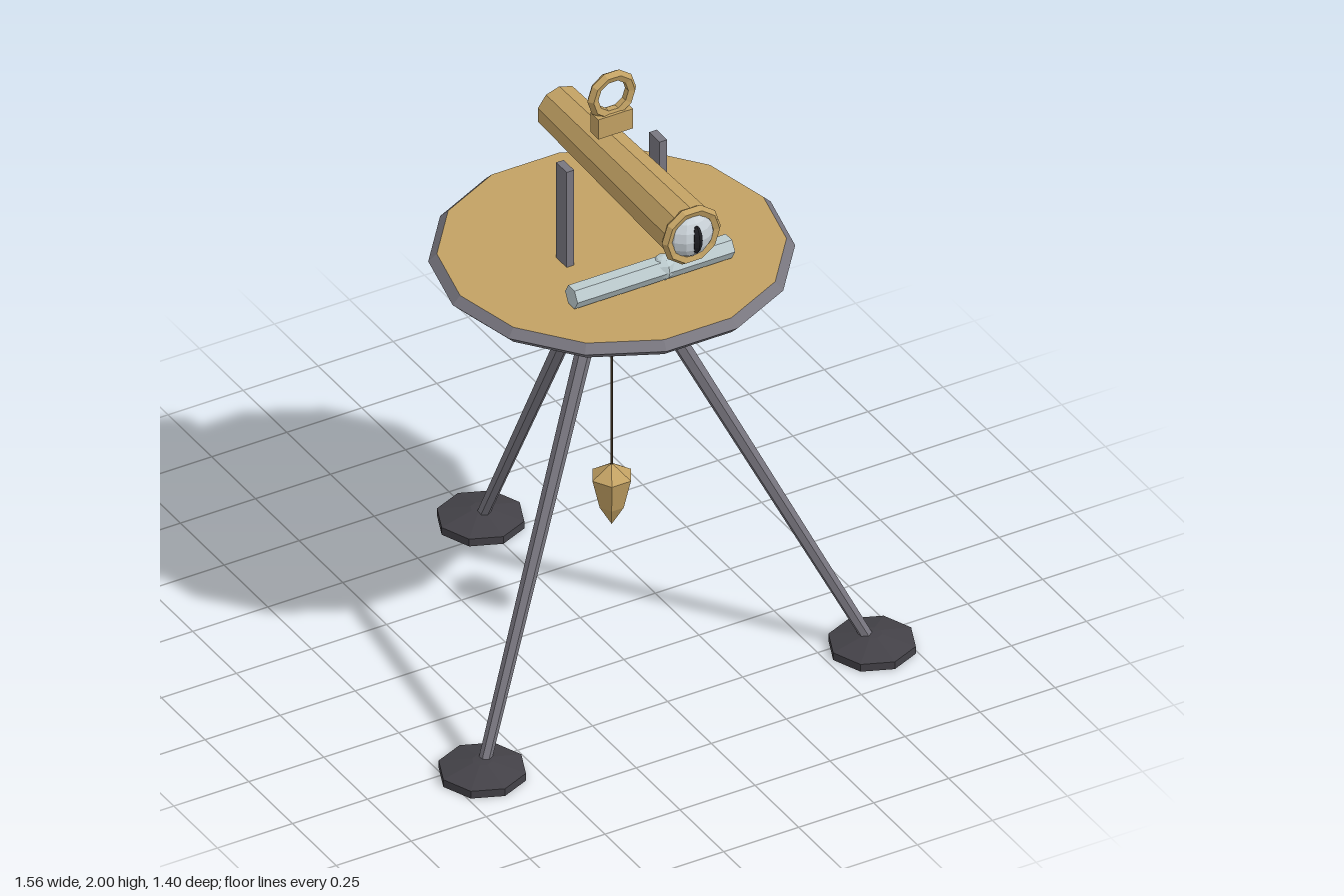
import * as THREE from 'three';

export function createModel() {
  const model = new THREE.Group();
  model.name = 'surveyInstrument';
  const material = (name, color) => {
    const m = new THREE.MeshStandardMaterial({ color, flatShading: true });
    m.name = name;
    return m;
  };
  const brass = material('brass', 0xc2a163);
  const steel = material('steel', 0x78767f);
  const iron = material('dark iron', 0x434147);
  const glass = material('pale glass', 0xbccbce);
  const eyeWhite = material('lens white', 0xc9d1d7);
  const black = material('pupil black', 0x1d1d22);
  const cord = material('cord', 0x4a3c2a);

  // Everything hangs around a vertical axis that sits slightly forward
  const rig = new THREE.Group();
  rig.name = 'rig';
  rig.position.z = 0.18;
  model.add(rig);

  const add = (name, geometry, mat, x = 0, y = 0, z = 0) => {
    const mesh = new THREE.Mesh(geometry, mat);
    mesh.name = name;
    mesh.position.set(x, y, z);
    rig.add(mesh);
    return mesh;
  };
  const lathe = (points, sides, phase = 0) =>
    new THREE.LatheGeometry(points.map(([r, y]) => new THREE.Vector2(r, y)), sides, phase);
  const rod = (name, mat, from, to, rFrom, rTo, sides) => {
    const dir = to.clone().sub(from);
    const mesh = add(name, new THREE.CylinderGeometry(rTo, rFrom, dir.length(), sides), mat);
    mesh.position.copy(from).addScaledVector(dir, 0.5);
    mesh.quaternion.setFromUnitVectors(new THREE.Vector3(0, 1, 0), dir.normalize());
    return mesh;
  };

  // Three splayed legs with octagonal feet
  for (const angle of [Math.PI / 6, Math.PI * 5 / 6, -Math.PI / 2]) {
    const at = (r, y) => new THREE.Vector3(r * Math.cos(angle), y, r * Math.sin(angle));
    rod('leg', steel, at(0.74, 0.03), at(0.085, 1.27), 0.019, 0.026, 6);
    const p = at(0.75, 0);
    add('foot', lathe([[0, 0], [0.13, 0], [0.13, 0.025], [0.03, 0.05], [0, 0.052]], 8), iron, p.x, 0, p.z);
  }

  // Hub under the table
  add('hub', lathe([[0, 1.22], [0.112, 1.22], [0.13, 1.32], [0.118, 1.342], [0, 1.342]], 8, Math.PI / 8), steel);

  // Round table with a diamond-section rim
  add('tableTop', new THREE.CylinderGeometry(0.505, 0.505, 0.05, 14, 1, false, Math.PI / 2), brass, 0, 1.37);
  const rim = add('tableRim', new THREE.TorusGeometry(0.505, 0.025, 4, 14), steel, 0, 1.37);
  rim.rotation.x = Math.PI / 2;

  // Plumb line and bob
  add('plumbLine', new THREE.CylinderGeometry(0.004, 0.004, 0.62, 5), cord, 0, 0.93);
  add('plumbBob', lathe([[0, 0.43], [0.04, 0.5], [0.064, 0.6], [0, 0.642]], 6, Math.PI / 2), brass);

  // Uprights either side of the tube
  for (const side of [-1, 1])
    add('upright', new THREE.BoxGeometry(0.025, 0.34, 0.06), steel, side * 0.155, 1.555, 0);

  // Spirit level with its bubble
  const level = add('spiritLevel', new THREE.CylinderGeometry(0.036, 0.036, 0.525, 6), glass, 0, 1.435, 0.22);
  level.rotation.z = Math.PI / 2;
  add('levelBubble', new THREE.SphereGeometry(0.039, 8, 6), glass, 0.043, 1.437, 0.22);

  // Sighting tube, wider at the front
  const tube = add('sightingTube', new THREE.CylinderGeometry(0.09, 0.075, 0.76, 10), brass, 0, 1.7, 0.08);
  tube.rotation.x = Math.PI / 2;
  add('bezel', new THREE.TorusGeometry(0.082, 0.016, 5, 10), brass, 0, 1.7, 0.455);

  // Eye-like lens with a slit pupil
  const lens = add('lens', new THREE.SphereGeometry(0.075, 12, 8), eyeWhite, 0, 1.7, 0.44);
  lens.scale.z = 0.8;
  const pupil = add('pupil', new THREE.SphereGeometry(0.05, 8, 8), black, 0, 1.7, 0.478);
  pupil.scale.set(0.4, 1, 0.54);

  // Carrying ring on its block
  add('ringBlock', new THREE.BoxGeometry(0.115, 0.068, 0.046), brass, 0, 1.832, 0);
  add('carryingRing', new THREE.TorusGeometry(0.064, 0.017, 5, 10), brass, 0, 1.923, 0);

  return model;
}
